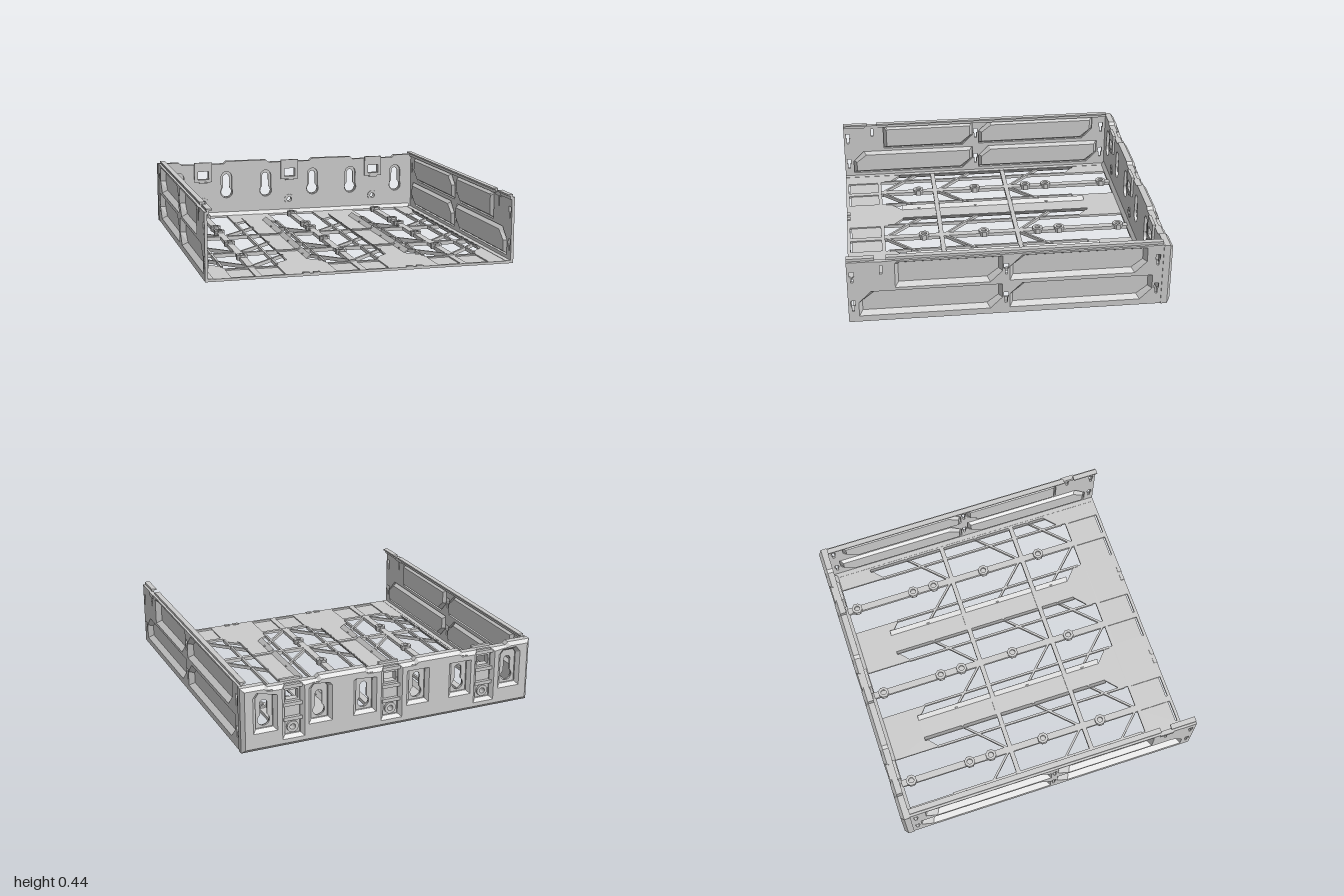
import * as THREE from 'three';

const mat = new THREE.MeshStandardMaterial({ color: 0xcccccc, flatShading: true, side: THREE.DoubleSide });
const bays = [-0.65, 0, 0.65];
const keyholes = [-0.83, -0.475, -0.18, 0.18, 0.475, 0.83];

const poly = (pts, T = THREE.Shape) => new T(pts.map(([x, y]) => new THREE.Vector2(x, y)));
const rect = (x0, x1, y0, y1, T) => poly([[x0, y0], [x1, y0], [x1, y1], [x0, y1]], T);
const circle = (x, y, r) => new THREE.Path().absarc(x, y, r, 0, Math.PI * 2, true);

function add(parent, geometry, name) {
  const mesh = new THREE.Mesh(geometry, mat);
  mesh.name = name;
  parent.add(mesh);
  return mesh;
}

// Box given by its limits
function box(parent, name, x0, x1, y0, y1, z0, z1) {
  const m = add(parent, new THREE.BoxGeometry(x1 - x0, y1 - y0, z1 - z0), name);
  m.position.set((x0 + x1) / 2, (y0 + y1) / 2, (z0 + z1) / 2);
  return m;
}

const extrude = (shape, depth, opts = {}) =>
  new THREE.ExtrudeGeometry(shape, { depth, bevelEnabled: false, curveSegments: 10, ...opts });

// Round opening with a rounded slot above it
function keyholePath(x, y, r, w, top) {
  const a = Math.acos(w / r);
  const p = new THREE.Path();
  p.absarc(x, y, r, Math.PI - a, a + Math.PI * 2, false);
  p.absarc(x, top - w, w, 0, Math.PI, false);
  p.closePath();
  return p;
}

// Recessed panel: sloping rim plus a floor set in by the given depth
function tray(pts, inset, depth) {
  const xs = pts.map(p => p[0]), ys = pts.map(p => p[1]);
  const mid = a => (Math.min(...a) + Math.max(...a)) / 2;
  const half = a => (Math.max(...a) - Math.min(...a)) / 2;
  const cx = mid(xs), cy = mid(ys), fx = 1 - inset / half(xs), fy = 1 - inset / half(ys);
  const inner = pts.map(([x, y]) => [cx + (x - cx) * fx, cy + (y - cy) * fy]);
  const v = [];
  pts.forEach((p, i) => {
    const j = (i + 1) % pts.length;
    const a = [...p, 0], b = [...pts[j], 0], c = [...inner[j], depth], d = [...inner[i], depth];
    v.push(...a, ...b, ...c, ...a, ...c, ...d);
  });
  const rim = new THREE.BufferGeometry();
  rim.setAttribute('position', new THREE.Float32BufferAttribute(v, 3));
  rim.computeVertexNormals();
  return [rim, new THREE.ShapeGeometry(poly(inner)).translate(0, 0, depth)];
}

function buildFloor() {
  const g = new THREE.Group();
  g.name = 'floor';
  const plate = rect(-0.96, 0.96, -0.95, 1);
  for (const c of bays) {
    plate.holes.push(poly([
      [c - 0.17, -0.92], [c - 0.17, -0.61], [c - 0.26, -0.69], [c - 0.26, 0.61], [c - 0.17, 0.69], [c - 0.17, 0.745],
      [c + 0.17, 0.745], [c + 0.17, 0.69], [c + 0.26, 0.61], [c + 0.26, -0.69], [c + 0.17, -0.61], [c + 0.17, -0.92],
    ], THREE.Path));
    // shallow pockets near the front edge
    for (const [a, b] of [[-0.165, -0.02], [0.02, 0.165]]) {
      plate.holes.push(rect(c + a, c + b, 0.77, 0.98, THREE.Path));
      box(g, 'frontPocket', c + a, c + b, 0, 0.008, 0.77, 0.97);
    }
  }
  add(g, extrude(plate, 0.016).rotateX(Math.PI / 2).translate(0, 0.016, 0), 'floorPlate');

  for (const z of [-0.16, 0.36]) box(g, 'crossBeam', -0.91, 0.91, 0, 0.024, z - 0.015, z + 0.015);
  for (const c of bays) {
    box(g, 'centreRib', c - 0.022, c + 0.022, 0, 0.024, -0.94, 0.75);
    for (const s of [-1, 1]) {
      box(g, 'longRib', c + s * 0.172 - 0.007, c + s * 0.172 + 0.007, 0, 0.022, -0.62, 0.72);
      // diagonal braces
      for (const z of [-0.165, 0.345, 0.745]) {
        const m = add(g, new THREE.BoxGeometry(0.368, 0.022, 0.014), 'diagonalBrace');
        m.position.set(c + s * 0.13, 0.013, z - 0.13);
        m.rotation.y = s * Math.PI / 4;
      }
      // sloping window edges
      for (const [z0, z1] of [[-0.69, -0.175], [-0.145, 0.345], [0.375, 0.61]]) {
        const edge = poly([[c + s * 0.262, 0], [c + s * 0.262, 0.016], [c + s * 0.235, 0.04], [c + s * 0.232, 0.034]]);
        add(g, extrude(edge, z1 - z0).translate(0, 0, z0), 'windowEdge');
      }
    }
    // screw bosses
    for (const z of [-0.86, -0.45, -0.3, 0.07, 0.48]) {
      const ring = new THREE.Shape();
      for (let i = 0; i < 8; i++) {
        const a = (i + 0.5) * Math.PI / 4;
        ring[i ? 'lineTo' : 'moveTo'](0.037 * Math.cos(a), 0.037 * Math.sin(a));
      }
      ring.holes.push(circle(0, 0, 0.018));
      add(g, extrude(ring, 0.036).rotateX(Math.PI / 2).translate(c, 0.038, z), 'screwBoss');
    }
  }
  // locating tabs on the front edge
  for (const x of [-0.36, -0.295, 0.295, 0.36]) box(g, 'frontTab', x - 0.02, x + 0.02, 0, 0.022, 0.975, 1);
  return g;
}

function buildSideWall() {
  const g = new THREE.Group();
  g.name = 'sideWall';
  const place = geo => geo.rotateY(-Math.PI / 2).translate(0.975, 0, 0);
  const wall = rect(-0.95, 1, 0, 0.42);
  const cut = 0.075;
  const panels = [[0.055, 0.71, 0.23, 0.408, 0.01], [-0.84, 0.01, 0.235, 0.408, cut],
    [0.055, 0.935, 0.04, 0.21, cut], [-0.88, 0.01, 0.04, 0.21, cut]];
  for (const [z0, z1, y0, y1, k] of panels) {
    const pts = [[z0 + cut, y0], [z1, y0], [z1, y1 - k], [z1 - k, y1], [z0, y1], [z0, y0 + cut]];
    wall.holes.push(poly(pts, THREE.Path));
    for (const geo of tray(pts, 0.022, 0.035)) add(g, place(geo), 'recessedPanel');
  }
  // hanging slots, wide above and narrow below
  for (const z of [0.97, 0.032, -0.908]) for (const y of [0.28, 0.075]) {
    wall.holes.push(poly([[z - 0.007, y], [z + 0.007, y], [z + 0.007, y + 0.035], [z + 0.014, y + 0.04],
      [z + 0.014, y + 0.075], [z - 0.014, y + 0.075], [z - 0.014, y + 0.04], [z - 0.007, y + 0.035]], THREE.Path));
  }
  wall.holes.push(rect(0.785, 0.8, 0.33, 0.39, THREE.Path));
  add(g, place(extrude(wall, 0.018)), 'wallPlate');
  // top rail with a gap for the latch
  for (const [z0, z1] of [[-0.94, 0.76], [0.83, 1]]) {
    box(g, 'railStem', 0.945, 0.96, 0.405, 0.43, z0, z1);
    box(g, 'railCap', 0.928, 0.962, 0.428, 0.438, z0, z1);
  }
  box(g, 'latch', 0.95, 0.98, 0.395, 0.42, 0.75, 0.84);
  box(g, 'bottomFlange', 0.925, 0.975, 0, 0.018, -0.94, 1);
  return g;
}

function buildBackWall() {
  const g = new THREE.Group();
  g.name = 'backWall';
  // stepped top edge; notch cuts a column for each clip
  function outline(notch) {
    const p = [[-0.98, 0], [0.98, 0], [0.98, 0.418]];
    for (const c of [...bays].reverse()) {
      p.push([c + 0.175, 0.418], [c + 0.155, 0.4]);
      if (notch) p.push([c + 0.05, 0.4], [c + 0.05, 0.07], [c - 0.05, 0.07], [c - 0.05, 0.4]);
      p.push([c - 0.155, 0.4], [c - 0.175, 0.418]);
    }
    p.push([-0.98, 0.418]);
    return poly(p);
  }
  // two thin layers: wide keyholes inside, narrow ones behind
  const layers = [[-0.957, 0.017, 0.045, 0.04, 0.342], [-0.97, 0.013, 0.038, 0.023, 0.32]];
  for (const [z, depth, r, w, top] of layers) {
    const s = outline(false);
    for (const x of keyholes) s.holes.push(keyholePath(x, 0.19, r, w, top));
    for (const c of bays) {
      s.holes.push(rect(c - 0.04, c + 0.04, 0.29, 0.35, THREE.Path), circle(c, 0.115, 0.018));
    }
    add(g, extrude(s, depth).translate(0, 0, z), 'backPlate');
  }
  // thick bevelled outer panel with a recess behind every keyhole
  const outer = outline(true);
  for (const x of keyholes) {
    outer.holes.push(poly([[x - 0.055, 0.14], [x + 0.055, 0.14], [x + 0.055, 0.34],
      [x + 0.035, 0.365], [x - 0.035, 0.365], [x - 0.055, 0.34]], THREE.Path));
  }
  add(g, extrude(outer, 0.012, { bevelEnabled: true, bevelThickness: 0.02, bevelSize: 0.022,
    bevelOffset: -0.022, bevelSegments: 1 }).translate(0, 0, -0.98), 'outerPanel');

  for (const c of bays) {
    // clip frame around the upper window
    const frame = rect(c - 0.065, c + 0.065, 0.27, 0.415);
    frame.holes.push(rect(c - 0.04, c + 0.04, 0.29, 0.35, THREE.Path));
    add(g, extrude(frame, 0.02).translate(0, 0, -0.945), 'clipFrame');
    box(g, 'clipLip', c - 0.03, c + 0.03, 0.262, 0.272, -0.95, -0.92);
    for (const y of [0.16, 0.255, 0.37]) box(g, 'clipBar', c - 0.06, c + 0.06, y, y + 0.022, -0.992, -0.965);
    // fixing boss
    const boss = new THREE.Shape().absarc(c, 0.115, 0.037, 0, Math.PI * 2, false);
    boss.holes.push(circle(c, 0.115, 0.018));
    add(g, extrude(boss, 0.05).translate(0, 0, -0.985), 'fixingBoss');
  }
  // fillet where the wall meets the floor
  const fillet = poly([[0.945, 0], [0.92, 0], [0.92, 0.016], [0.94, 0.04], [0.945, 0.04]]);
  add(g, extrude(fillet, 1.88).rotateY(Math.PI / 2).translate(-0.94, 0, 0), 'floorFillet');
  return g;
}

export function createModel() {
  const model = new THREE.Group();
  model.name = 'openDrawerTray';
  const left = buildSideWall(), right = buildSideWall();
  left.name = 'leftWall';
  right.name = 'rightWall';
  right.scale.x = -1;
  model.add(buildFloor(), left, right, buildBackWall());
  return model;
}
